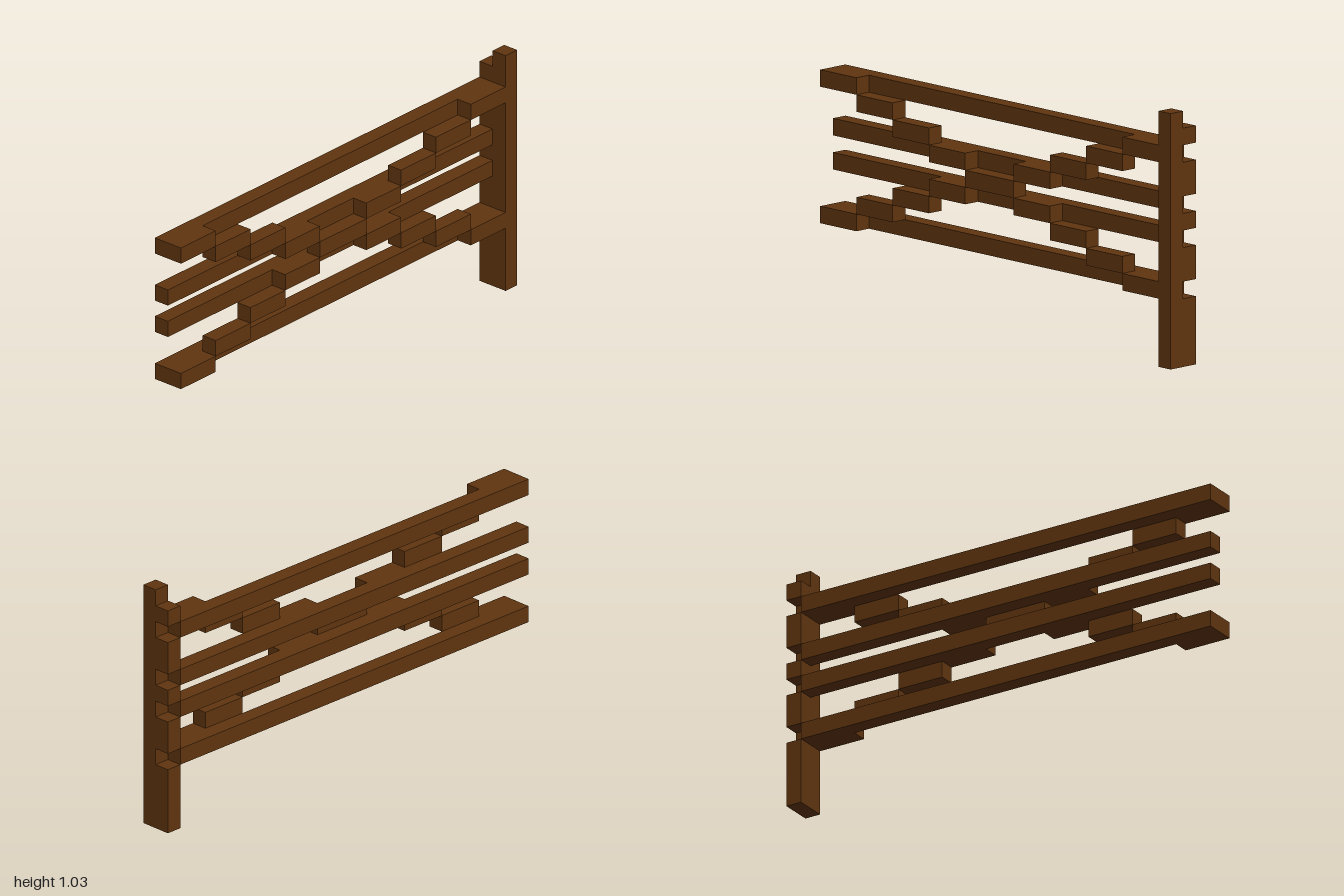
import * as THREE from 'three';

// Everything sits on a square-beam grid: 29 beams long, 15 high, 2 deep.
const U = 2 / 29;

export function createModel() {
  const model = new THREE.Group();
  model.name = 'fenceGate';
  const darkWood = new THREE.MeshStandardMaterial({ color: 0x60350f });
  darkWood.name = 'darkWood';

  // Box from grid ranges; layer 0 is the back half, layer 1 the front half.
  function beam(name, x0, x1, y0, y1, layer) {
    const geometry = new THREE.BoxGeometry((x1 - x0) * U, (y1 - y0) * U, U);
    const mesh = new THREE.Mesh(geometry, darkWood);
    mesh.name = name;
    mesh.position.set(((x0 + x1) / 2 - 14.5) * U, ((y0 + y1) / 2) * U, (layer - 0.5) * U);
    model.add(mesh);
  }

  // Tall front post, and the back post broken by a notch at each rail
  beam('frontPost', 28, 29, 0, 15, 1);
  for (const [y0, y1] of [[0, 4], [5, 7], [8, 9], [10, 12], [13, 14]]) {
    beam('backPostSegment', 28, 29, y0, y1, 0);
  }

  // Four horizontal rails
  for (const y of [4, 7, 9, 12]) beam('rail', 0, 28, y, y + 1, 0);

  // Stepped diagonal cross brace on the front, mirrored in x and y
  for (let i = 0; i < 4; i++) {
    for (const y of [4 + i, 12 - i]) {
      beam('braceStep', 3 * i, 3 * i + 3, y, y + 1, 1);
      beam('braceStep', 25 - 3 * i, 28 - 3 * i, y, y + 1, 1);
    }
  }
  beam('braceCentre', 12, 16, 8, 9, 1);

  return model;
}
